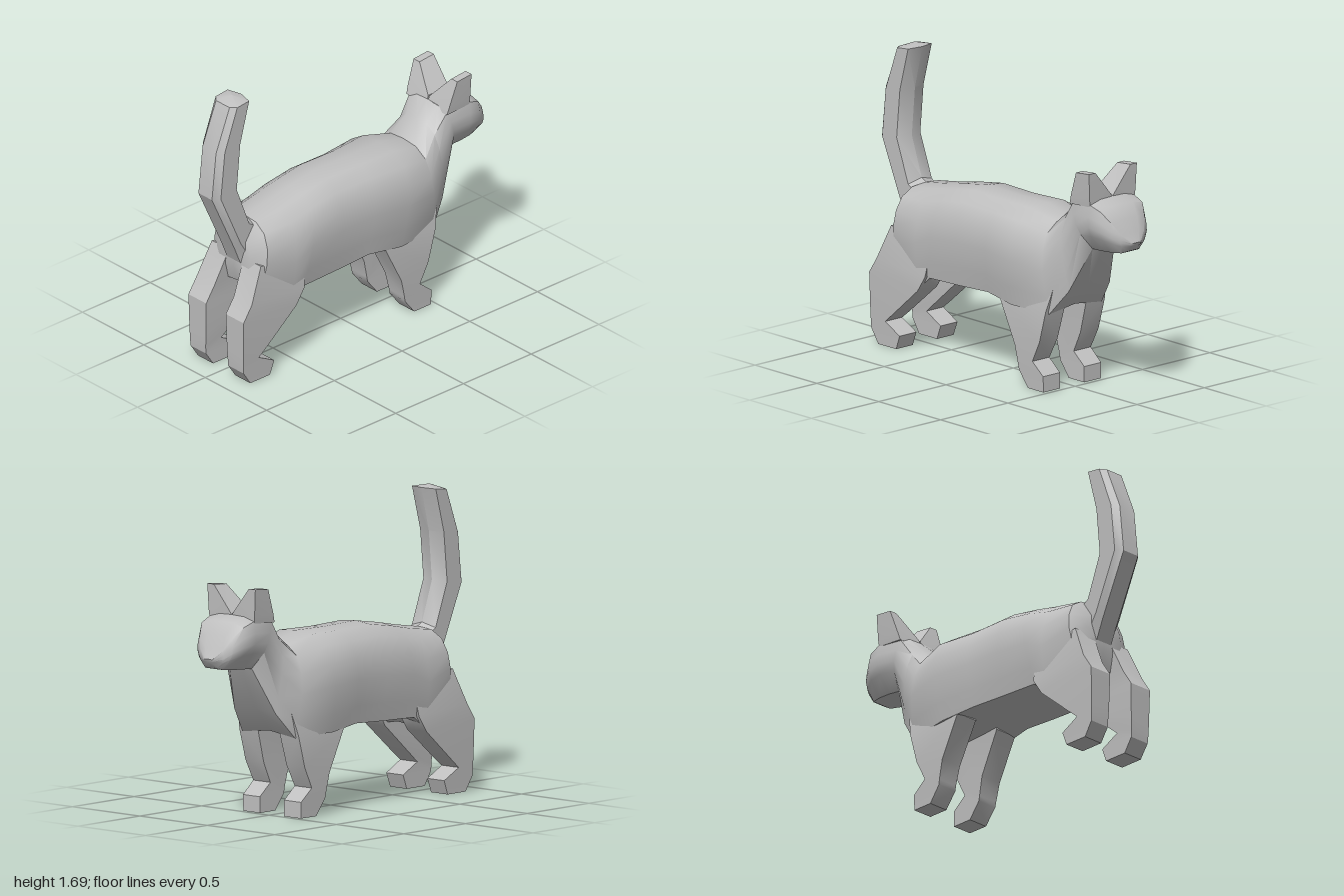
import * as THREE from 'three';
import { toCreasedNormals } from 'three/addons/utils/BufferGeometryUtils.js';

// Skin equal-length rings of [x, y, z] points into a closed solid with fan caps.
// The last ring's cap may be raised to a given tip point.
function loft(rings, crease, tip) {
  const n = rings[0].length, tris = [];
  for (let s = 0; s < rings.length - 1; s++) {
    for (let i = 0; i < n; i++) {
      const j = (i + 1) % n;
      const a = rings[s][i], b = rings[s][j], c = rings[s + 1][i], d = rings[s + 1][j];
      tris.push([a, b, c], [b, d, c]);
    }
  }
  const centre = r => [0, 1, 2].map(k => r.reduce((t, p) => t + p[k], 0) / n);
  const first = rings[0], last = rings[rings.length - 1];
  const c0 = centre(first), c1 = tip || centre(last);
  for (let i = 0; i < n; i++) {
    const j = (i + 1) % n;
    tris.push([c0, first[j], first[i]], [c1, last[i], last[j]]);
  }
  // Turn the faces outward whatever the ring direction
  let volume = 0;
  for (const [a, b, c] of tris) {
    volume += a[0] * (b[1] * c[2] - b[2] * c[1])
      + a[1] * (b[2] * c[0] - b[0] * c[2])
      + a[2] * (b[0] * c[1] - b[1] * c[0]);
  }
  const ordered = volume < 0 ? tris.map(([a, b, c]) => [a, c, b]) : tris;
  const geo = new THREE.BufferGeometry();
  geo.setAttribute('position', new THREE.Float32BufferAttribute(ordered.flat(2), 3));
  return toCreasedNormals(geo, crease);
}

// Half outlines as [share of half width, share of the way from top to bottom]
const TORSO = [[0, 0], [0.45, 0.02], [0.78, 0.13], [0.95, 0.32], [1, 0.55], [0.92, 0.85], [0.85, 1.05], [0, 1]];
const HEAD = [[0, 0], [0.5, 0.01], [0.92, 0.08], [1, 0.3], [1, 0.5], [0.9, 0.68], [0.5, 1], [0, 1]];

// Symmetric ring between a top and a bottom point on the centre line
function bodyRing([xt, yt, xb, yb, w, outline]) {
  const half = outline.map(([z, t]) => [xt + (xb - xt) * t, yt + (yb - yt) * t, z * w]);
  const other = half.slice(1, -1).reverse().map(([x, y, z]) => [x, y, -z]);
  return half.concat(other);
}

// Four-cornered ring of a leg: back point, front point, inner and outer z
function legRing([xb, yb, xf, yf, zi, zo], side) {
  return [[xb, yb, zi], [xf, yf, zi], [xf, yf, zo], [xb, yb, zo]].map(([x, y, z]) => [x, y, z * side]);
}

// Tail ring: flat back with bevels, and a ridge at the front
function tailRing([xb, yb, xf, yf]) {
  const outline = [[0, 0.055], [0.2, 0.088], [0.85, 0.088], [1, 0], [0.85, -0.088], [0.2, -0.088], [0, -0.055]];
  return outline.map(([t, z]) => [xb + (xf - xb) * t, yb + (yf - yb) * t, z]);
}

export function createModel() {
  const model = new THREE.Group();
  model.name = 'cat';
  const fur = new THREE.MeshStandardMaterial({ color: 0xc0c0c0 });
  fur.name = 'grey fur';
  const add = (name, geo) => {
    const mesh = new THREE.Mesh(geo, fur);
    mesh.name = name;
    model.add(mesh);
  };

  // Torso, neck and head in one skin, from rump to nose
  const body = [
    [-0.78, 0.82, -0.79, 0.62, 0.13, TORSO],
    [-0.71, 0.91, -0.76, 0.52, 0.215, TORSO],
    [-0.53, 0.94, -0.55, 0.40, 0.238, TORSO],
    [-0.38, 0.97, -0.45, 0.48, 0.24, TORSO],
    [-0.20, 1.00, -0.20, 0.49, 0.242, TORSO],
    [0.05, 0.995, 0.02, 0.50, 0.242, TORSO],
    [0.28, 1.00, 0.24, 0.48, 0.275, TORSO],
    [0.46, 0.955, 0.50, 0.47, 0.23, TORSO],
    [0.56, 1.05, 0.61, 0.61, 0.18, TORSO],
    [0.64, 1.13, 0.73, 0.845, 0.165, HEAD],
    [0.80, 1.145, 0.80, 0.85, 0.178, HEAD],
    [0.875, 1.115, 0.88, 0.855, 0.168, HEAD],
    [0.93, 1.045, 0.945, 0.86, 0.13, HEAD],
    [0.965, 0.975, 0.965, 0.87, 0.09, HEAD],
    [0.997, 0.92, 0.985, 0.895, 0.035, HEAD],
  ];
  add('body and head', loft(body.map(bodyRing), 0.7));

  // Tail, rising from the rump
  const tail = [
    [-0.79, 0.66, -0.60, 0.86],
    [-0.835, 0.77, -0.74, 0.93],
    [-1.00, 1.13, -0.82, 1.155],
    [-0.97, 1.41, -0.795, 1.43],
    [-0.87, 1.66, -0.735, 1.675],
  ];
  add('tail', loft(tail.map(tailRing), 0.5, [-0.80, 1.69, 0]));

  // Legs, from the hidden root down to the paw
  const frontLeg = [
    [0.17, 0.64, 0.54, 0.62, 0.06, 0.19],
    [0.13, 0.47, 0.50, 0.46, 0.08, 0.22],
    [0.25, 0.23, 0.45, 0.28, 0.085, 0.22],
    [0.275, 0.12, 0.39, 0.16, 0.09, 0.217],
    [0.28, 0.09, 0.475, 0.09, 0.09, 0.215],
    [0.35, 0, 0.475, 0, 0.09, 0.213],
  ];
  const rearLeg = [
    [-0.77, 0.69, -0.45, 0.62, 0.06, 0.2],
    [-0.86, 0.49, -0.47, 0.46, 0.08, 0.225],
    [-0.92, 0.40, -0.53, 0.37, 0.08, 0.225],
    [-0.917, 0.20, -0.74, 0.19, 0.085, 0.22],
    [-0.915, 0.12, -0.80, 0.14, 0.09, 0.217],
    [-0.912, 0.08, -0.685, 0.08, 0.09, 0.215],
    [-0.86, 0, -0.715, 0, 0.09, 0.213],
  ];
  // Ears: wide wedges leaning out to a flat tip
  const ear = [
    [0.635, 1.10, 0.80, 1.11, 0.0, 0.165],
    [0.65, 1.15, 0.802, 1.15, 0.005, 0.17],
    [0.70, 1.29, 0.805, 1.30, 0.13, 0.178],
  ];
  for (const [label, side] of [['left', -1], ['right', 1]]) {
    add(label + ' front leg', loft(frontLeg.map(r => legRing(r, side)), 0.5));
    add(label + ' rear leg', loft(rearLeg.map(r => legRing(r, side)), 0.5));
    add(label + ' ear', loft(ear.map(r => legRing(r, side)), 0.4));
  }

  return model;
}
